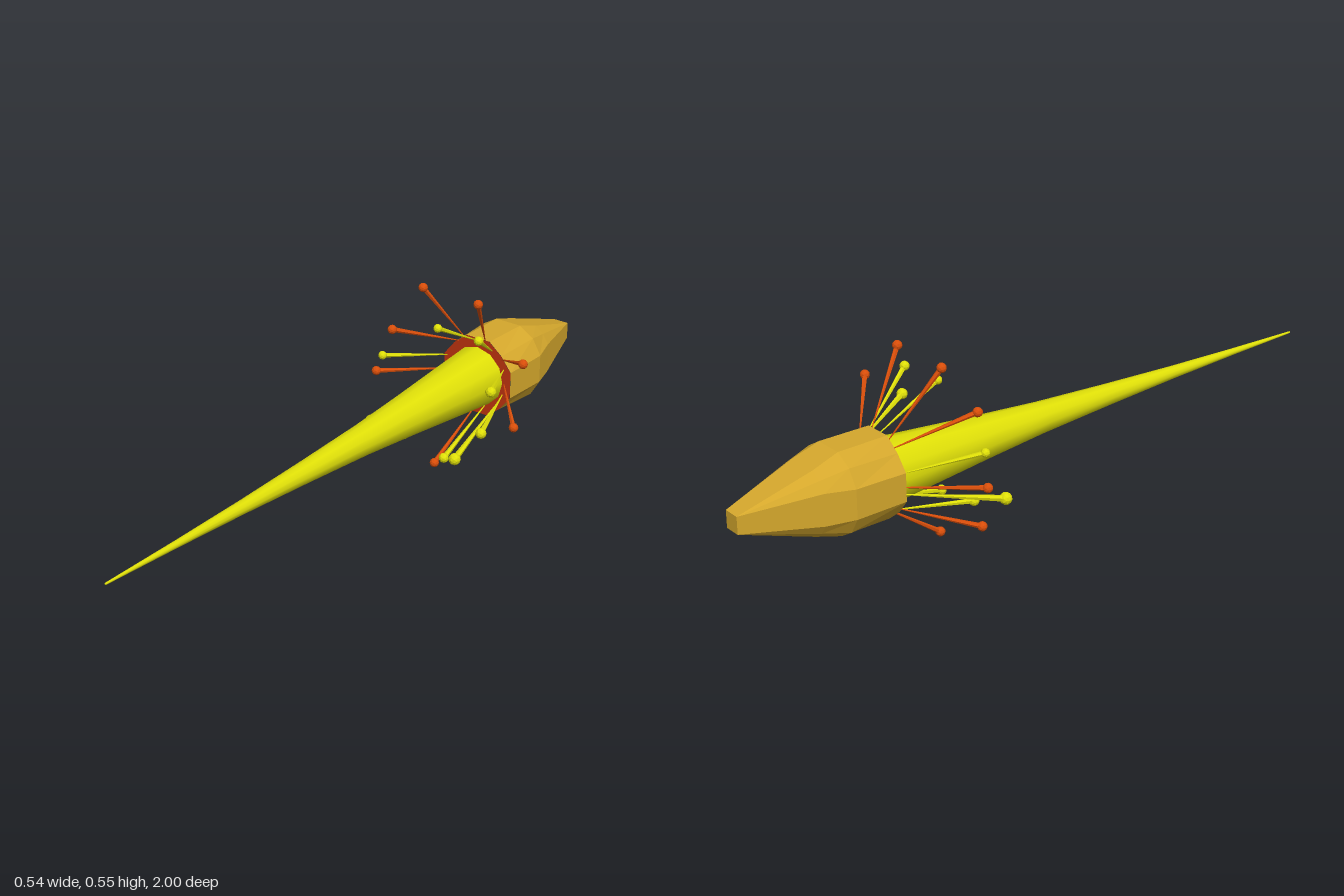
import * as THREE from 'three';

const CY = 0.2425; // height of the long axis

const material = (color, flatShading = true) =>
  new THREE.MeshStandardMaterial({ color, flatShading });

function add(parent, name, geometry, mat) {
  const mesh = new THREE.Mesh(geometry, mat);
  mesh.name = name;
  parent.add(mesh);
  return mesh;
}

// Twelve-sided ring: flat sides at distance r with half length m, and corners at (c, c)
function ringPoints(r, m, c) {
  const points = [];
  for (let q = 0; q < 4; q++) {
    for (const [x, y] of [[r, -m], [r, m], [c, c]]) {
      const p = new THREE.Vector2(x, y).rotateAround(new THREE.Vector2(), q * Math.PI / 2);
      points.push(p);
    }
  }
  return points;
}

// Skin between rings that run from the front to the back, closed at the back
function loft(sections) {
  const pos = [];
  const idx = [];
  const n = 12;
  for (const [z, r, m, c] of sections) {
    for (const p of ringPoints(r, m, c)) pos.push(p.x, p.y, z);
  }
  for (let i = 0; i < sections.length - 1; i++) {
    for (let j = 0; j < n; j++) {
      const a = i * n + j;
      const b = i * n + (j + 1) % n;
      idx.push(a + n, b + n, a, b + n, b, a);
    }
  }
  const last = (sections.length - 1) * n;
  for (let j = 1; j < n - 1; j++) idx.push(last, last + j + 1, last + j);
  const g = new THREE.BufferGeometry();
  g.setAttribute('position', new THREE.Float32BufferAttribute(pos, 3));
  g.setIndex(idx);
  g.computeVertexNormals();
  return g;
}

// Filament that thickens toward a faceted ball at its tip
function stalk(parent, name, [bx, by, tx, ty, tz, radius], mat) {
  const group = new THREE.Group();
  group.name = name;
  const base = new THREE.Vector3(bx, by, -0.55);
  const tip = new THREE.Vector3(tx, ty, tz);
  const dir = tip.clone().sub(base);
  const filament = add(group, 'filament',
    new THREE.CylinderGeometry(radius * 0.55, 0.0015, dir.length(), 6), mat);
  filament.position.copy(base).lerp(tip, 0.5);
  filament.quaternion.setFromUnitVectors(new THREE.Vector3(0, 1, 0), dir.normalize());
  add(group, 'ball', new THREE.IcosahedronGeometry(radius, 1), mat).position.copy(tip);
  parent.add(group);
}

export function createModel() {
  const model = new THREE.Group();
  model.name = 'flower';

  // Faceted bulb narrowing to a square stem end
  const bulb = loft([
    [-0.55, 0.12, 0.041, 0.085],
    [-0.705, 0.12, 0.043, 0.091],
    [-0.785, 0.094, 0.046, 0.074],
    [-1, 0.025, 0.025, 0.025],
  ]);
  add(model, 'bulb', bulb, material(0xd4a72c)).position.y = CY;

  // Flat red face at the mouth of the bulb
  const face = new THREE.ShapeGeometry(new THREE.Shape(ringPoints(0.12, 0.041, 0.085)));
  add(model, 'mouth', face, material(0xc4350f)).position.set(0, CY, -0.549);

  // Long pointed spike
  const profile = [[0.093, -0.56], [0.079, -0.4], [0.061, -0.2], [0.045, 0],
    [0.031, 0.25], [0.019, 0.5], [0.01, 0.75], [0.003, 1], [0, 1]]
    .map(([r, z]) => new THREE.Vector2(r, z));
  const spike = new THREE.LatheGeometry(profile, 12);
  spike.rotateX(Math.PI / 2);
  add(model, 'spike', spike, material(0xdfdf08, false)).position.y = CY;

  // Stalks: base x, base y, tip x, tip y, tip z, ball radius
  const orangeStalks = [
    [-0.05, 0.355, -0.108, 0.538, -0.42, 0.014],
    [0.025, 0.363, 0.091, 0.538, -0.415, 0.014],
    [0.085, 0.317, 0.254, 0.4, -0.41, 0.014],
    [0.097, 0.241, 0.247, 0.208, -0.385, 0.014],
    [-0.003, 0.142, -0.02, 0.016, -0.37, 0.014],
    [-0.085, 0.168, -0.192, 0.096, -0.36, 0.014],
    [-0.105, 0.237, -0.256, 0.242, -0.39, 0.014],
    [-0.07, 0.337, -0.166, 0.414, -0.35, 0.014],
  ];
  const yellowStalks = [
    [-0.005, 0.355, -0.009, 0.456, -0.36, 0.013],
    [0.052, 0.335, 0.131, 0.453, -0.365, 0.014],
    [0.095, 0.287, 0.209, 0.333, -0.32, 0.016],
    [0.093, 0.206, 0.19, 0.203, -0.305, 0.016],
    [0.075, 0.172, 0.125, 0.114, -0.27, 0.018],
    [0.032, 0.154, 0.065, 0.087, -0.3, 0.015],
    [-0.05, 0.15, -0.087, 0.114, -0.305, 0.015],
    [-0.1, 0.215, -0.18, 0.145, -0.27, 0.018],
    [-0.11, 0.28, -0.209, 0.316, -0.36, 0.013],
  ];
  const orange = material(0xd94e0a);
  const yellow = material(0xdfdf08);
  for (const s of orangeStalks) stalk(model, 'orangeStalk', s, orange);
  for (const s of yellowStalks) stalk(model, 'yellowStalk', s, yellow);

  return model;
}
